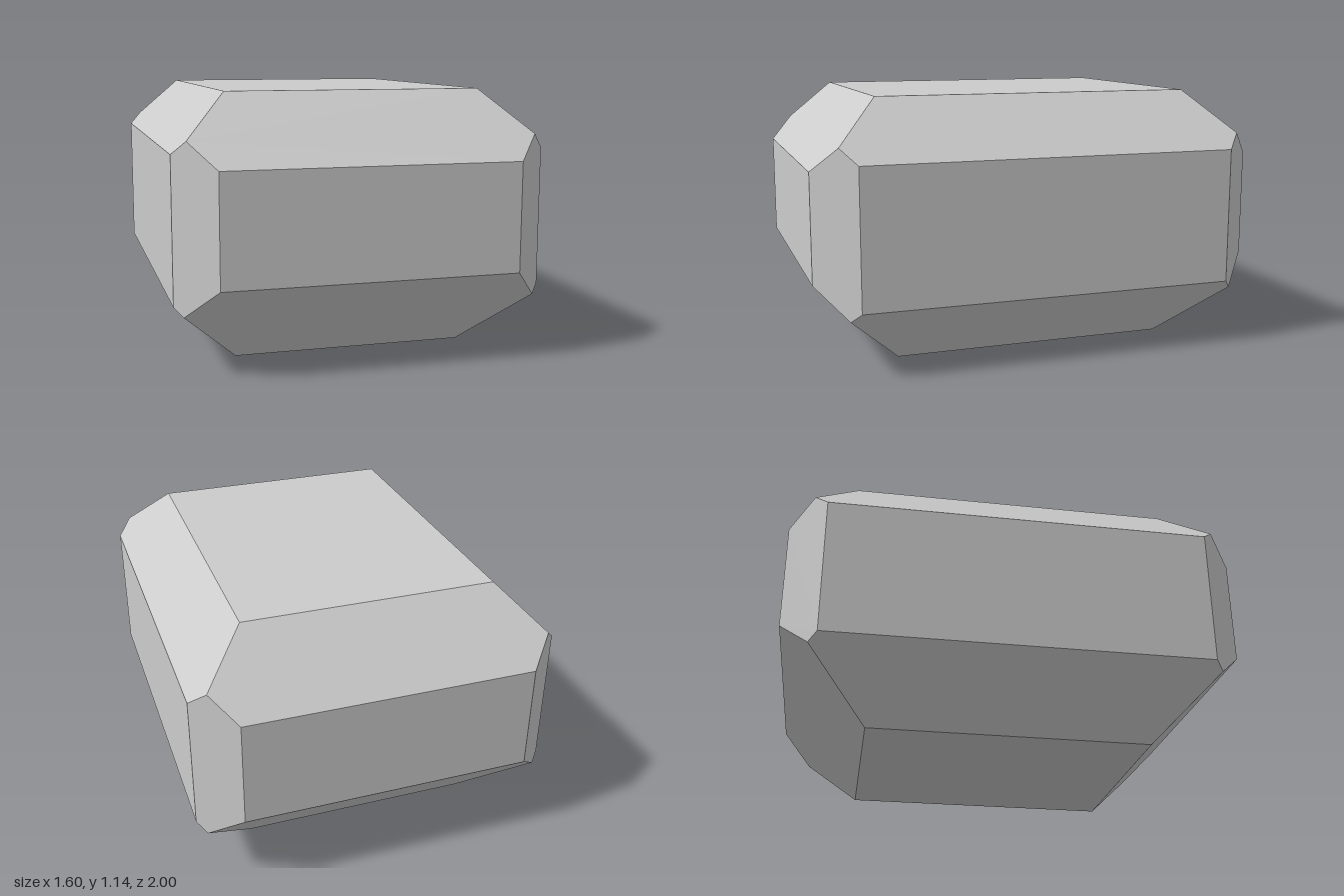
import * as THREE from 'three';
import { ConvexGeometry } from 'three/addons/geometries/ConvexGeometry.js';

// Overall half width, half depth and height of the block
const W = 0.8, D = 1, H = 1.14;
// 45-degree bevel planes: z + y (top), z - y (bottom), x - y (bottom)
const topZ = 1.85, lowZ = 0.62, lowX = 0.51;

// Corner points of one upright edge, where the bevel planes meet.
// topX is the x + y offset of the top bevel, edge the x + z offset of the corner bevel.
function cornerPoints(sx, sz, topX, edge) {
  const yTop = (topX + topZ - edge) / 2;
  const yLow = (edge - lowX - lowZ) / 2;
  return [
    [topX - H, H, topZ - H], // top face
    [topX - yTop, yTop, topZ - yTop], // upper bevel junction
    [edge - D, topZ - D, D], // front or back face
    [edge - D, D - lowZ, D],
    [W, topX - W, edge - W], // side face
    [W, W - lowX, edge - W],
    [lowX + yLow, yLow, lowZ + yLow], // lower bevel junction
    [lowX, 0, lowZ], // bottom face
  ].map(([x, y, z]) => new THREE.Vector3(sx * x, y, sz * z));
}

export function createModel() {
  const group = new THREE.Group();
  group.name = 'bevelledBlock';

  // The left and right bevels differ very slightly
  const points = [];
  for (const sz of [1, -1]) {
    points.push(...cornerPoints(1, sz, 1.688, 1.63));
    points.push(...cornerPoints(-1, sz, 1.702, 1.638));
  }

  const block = new THREE.Mesh(
    new ConvexGeometry(points),
    new THREE.MeshStandardMaterial({ color: 0xcccccc, flatShading: true })
  );
  block.name = 'block';
  group.add(block);
  return group;
}
